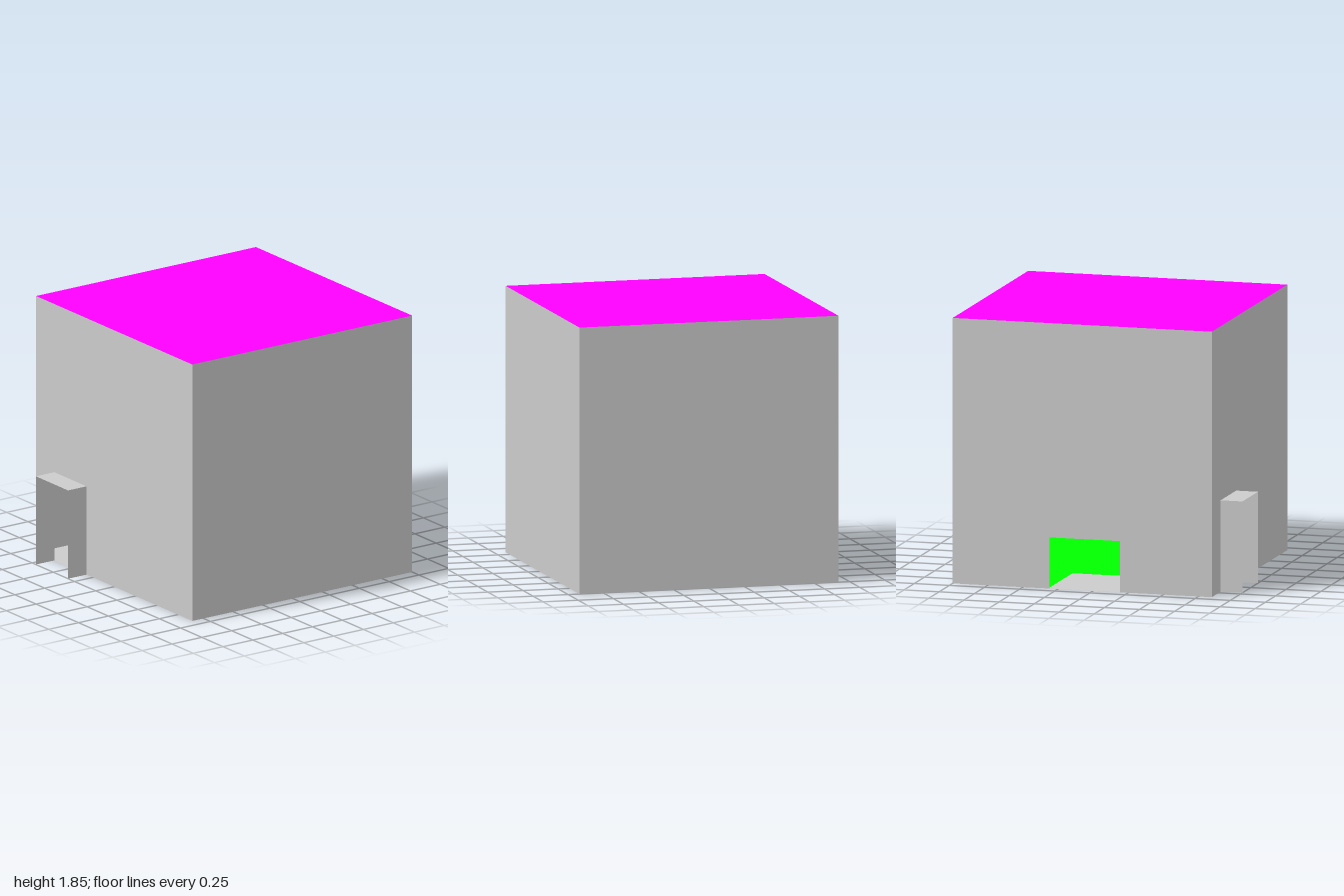
import * as THREE from 'three';

const X = 0.92, H = 1.845, BACK = -1, FRONT = 0.845;      // room extents
const DOOR = { left: -0.705, right: -0.325, top: 0.635 };  // square front doorway
const ARCH = { z: -0.06, r: 0.25, spring: 0.48 };          // arched side opening

const paint = (color) => new THREE.MeshStandardMaterial({ color, flatShading: true, side: THREE.DoubleSide });
const grey = paint(0xcccccc), magenta = paint(0xff00ff), green = paint(0x00ff00);

const outline = (points) => new THREE.Shape(points.map(([x, y]) => new THREE.Vector2(x, y)));

export function createModel() {
  const room = new THREE.Group();
  room.name = 'room';

  // Thin flat panel from an outline, then turned and placed
  function panel(name, shape, material, position, rotation = [0, 0, 0]) {
    const mesh = new THREE.Mesh(new THREE.ShapeGeometry(shape, 8), material);
    mesh.name = name;
    mesh.position.set(...position);
    mesh.rotation.set(...rotation);
    room.add(mesh);
  }
  const rect = (x0, y0, x1, y1) => outline([[x0, y0], [x1, y0], [x1, y1], [x0, y1]]);
  const flat = [-Math.PI / 2, 0, 0];   // outline (x, -z) laid level
  const side = [0, -Math.PI / 2, 0];   // outline (z, y) facing -x
  const farSide = [0, Math.PI / 2, 0]; // outline (-z, y) facing +x

  // Closed walls
  panel('backWall', rect(-X, 0, X, H), grey, [0, 0, BACK], [0, Math.PI, 0]);
  panel('leftWall', rect(-FRONT, 0, -BACK, H), grey, [X, 0, 0], farSide);

  // Front wall notched by the doorway
  panel('frontWall', outline([
    [-X, 0], [DOOR.left, 0], [DOOR.left, DOOR.top], [DOOR.right, DOOR.top],
    [DOOR.right, 0], [X, 0], [X, H], [-X, H],
  ]), grey, [0, 0, FRONT]);

  // Right wall with the arched opening
  const archWall = new THREE.Shape();
  archWall.moveTo(BACK, 0);
  archWall.lineTo(ARCH.z - ARCH.r, 0);
  archWall.lineTo(ARCH.z - ARCH.r, ARCH.spring);
  archWall.absarc(ARCH.z, ARCH.spring, ARCH.r, Math.PI, 0, true);
  archWall.lineTo(ARCH.z + ARCH.r, 0);
  archWall.lineTo(FRONT, 0);
  archWall.lineTo(FRONT, H);
  archWall.lineTo(BACK, H);
  panel('rightWall', archWall, grey, [-X, 0, 0], side);

  // Roof, and a floor with a grey patch joining the two openings
  const patchX = DOOR.right, patchZ = -0.32;
  panel('roof', rect(-X, -FRONT, X, -BACK), magenta, [0, H, 0], flat);
  panel('greenFloor', outline([
    [patchX, -FRONT], [X, -FRONT], [X, -BACK], [-X, -BACK], [-X, -patchZ], [patchX, -patchZ],
  ]), green, [0, 0, 0], flat);
  panel('entryFloor', rect(-X, -FRONT, patchX, -patchZ), grey, [0, 0, 0], flat);

  // Porch around the doorway: two side panels and a top
  panel('porchRightSide', rect(FRONT, 0, 1, DOOR.top), grey, [DOOR.left, 0, 0], side);
  panel('porchLeftSide', rect(-1, 0, -FRONT, DOOR.top), grey, [DOOR.right, 0, 0], farSide);
  panel('porchTop', rect(DOOR.left, -1, DOOR.right, -FRONT), grey, [0, DOOR.top, 0], flat);

  return room;
}
